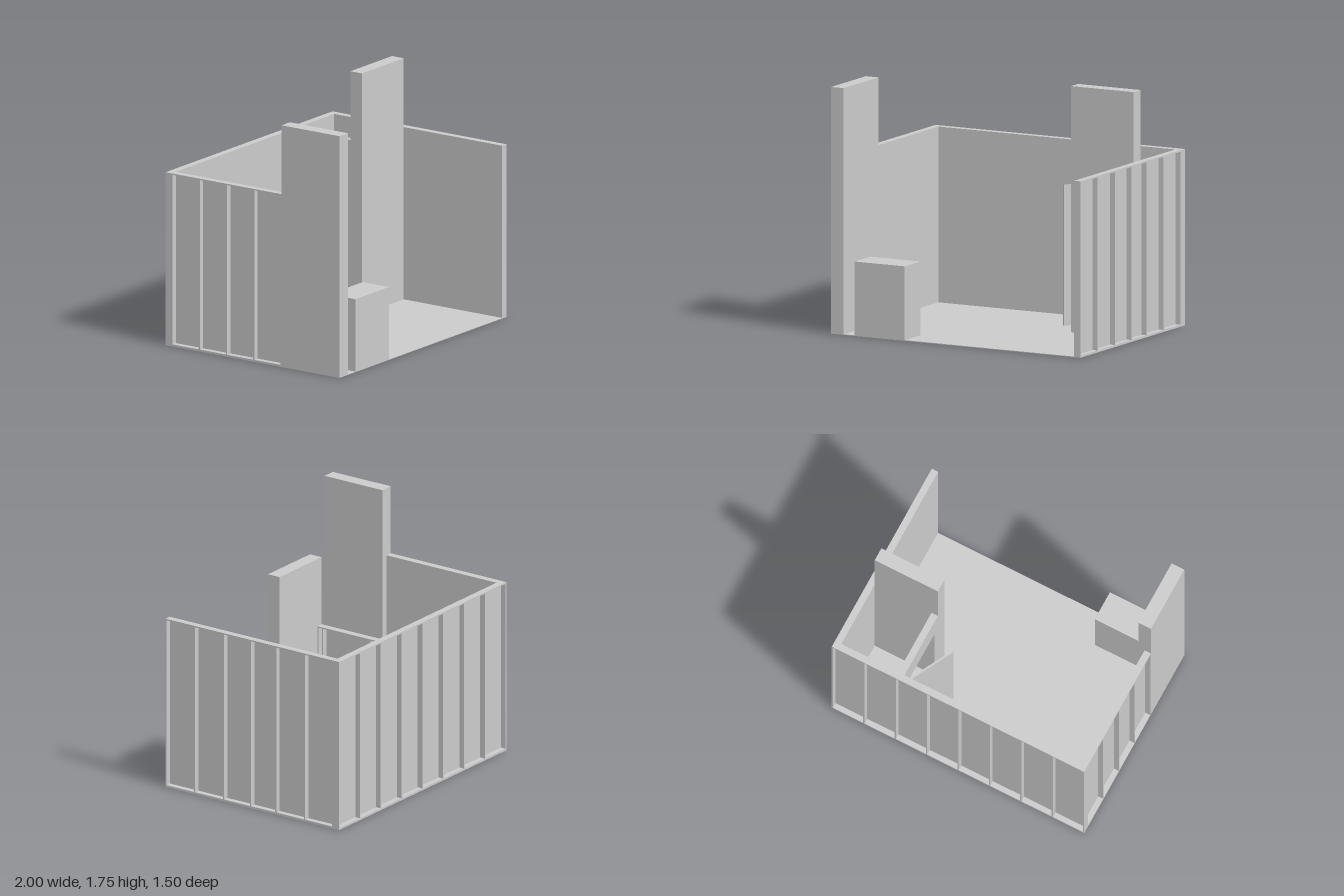
import * as THREE from 'three';

const FLOOR = 0.005;   // floor sheet thickness
const H = 1.25;        // wall height above the floor
const D = 0.05;        // wall depth
const T = 0.01;        // timber and sheet thickness

const grey = new THREE.MeshStandardMaterial({ color: 0xcccccc, flatShading: true });

// Box given by its min and max corners
function box(parent, name, x0, x1, y0, y1, z0, z1) {
  const mesh = new THREE.Mesh(new THREE.BoxGeometry(x1 - x0, y1 - y0, z1 - z0), grey);
  mesh.position.set((x0 + x1) / 2, (y0 + y1) / 2, (z0 + z1) / 2);
  mesh.name = name;
  parent.add(mesh);
  return mesh;
}

// Stud wall along local x from a to b, sheeted on the local +z side, open behind.
// studs: centre positions; door: optional opening { a, b, h }
function framedWall(name, a, b, studs, door) {
  const wall = new THREE.Group();
  wall.name = name;
  const z0 = -D / 2, z1 = D / 2;

  // Plates
  box(wall, 'topPlate', a, b, H - T, H, z0, z1);
  const runs = door ? [[a, door.a], [door.b, b]] : [[a, b]];
  for (const [p, q] of runs) box(wall, 'bottomPlate', p, q, 0, T, z0, z1);

  // End studs take the full depth, the others sit behind the sheet
  for (const s of studs) {
    const end = s - a < T || b - s < T;
    box(wall, 'stud', s - T / 2, s + T / 2, T, H - T, z0, end ? z1 : z1 - T);
  }

  // Sheet, notched around the opening
  const sheet = new THREE.Shape();
  sheet.moveTo(a + T, T);
  if (door) {
    sheet.lineTo(door.a, T);
    sheet.lineTo(door.a, door.h);
    sheet.lineTo(door.b, door.h);
    sheet.lineTo(door.b, T);
    box(wall, 'doorHeader', door.a, door.b, door.h, door.h + T, z0, z1 - T);
  }
  sheet.lineTo(b - T, T);
  sheet.lineTo(b - T, H - T);
  sheet.lineTo(a + T, H - T);
  sheet.closePath();
  const panel = new THREE.Mesh(
    new THREE.ExtrudeGeometry(sheet, { depth: T, bevelEnabled: false }), grey);
  panel.position.z = z1 - T;
  panel.name = 'wallSheet';
  wall.add(panel);
  return wall;
}

// Evenly spaced stud centres, flush with both ends
function spaced(a, b, count) {
  const list = [];
  for (let i = 0; i < count; i++) {
    list.push(a + T / 2 + (b - a - T) * i / (count - 1));
  }
  return list;
}

export function createModel() {
  const model = new THREE.Group();
  model.name = 'room';

  box(model, 'floor', -1, 1, 0, FLOOR, -0.75, 0.75);

  // Back wall
  const back = framedWall('backWall', -1, 1, spaced(-1, 1, 9));
  back.position.set(0, FLOOR, -0.725);
  model.add(back);

  // Wall on the +x side, local x runs along z
  const left = framedWall('leftWall', -0.7, 0.75,
    [-0.695, -0.45, -0.203, 0.015, 0.248, 0.5, 0.745]);
  left.rotation.y = -Math.PI / 2;
  left.position.set(0.975, FLOOR, 0);
  model.add(left);

  // Shorter wall on the -x side, local x runs against z
  const right = framedWall('rightWall', -0.25, 0.7, spaced(-0.25, 0.7, 5));
  right.rotation.y = Math.PI / 2;
  right.position.set(-0.975, FLOOR, 0);
  model.add(right);

  // Partition of the corner closet with its doorway
  const opening = { a: -0.65, b: -0.25, h: 1.0 };
  const partition = framedWall('partition', -0.7, -0.2,
    [-0.695, opening.a - T / 2, opening.b + T / 2, -0.205], opening);
  partition.rotation.y = -Math.PI / 2;
  partition.position.set(0.475, FLOOR, 0);
  model.add(partition);

  // Tall solid walls
  box(model, 'tallSideWall', -1, -0.9, FLOOR, 1.755, 0.25, 0.75);
  box(model, 'tallClosetWall', 0.45, 0.95, FLOOR, 1.755, -0.2, -0.1);

  // Open door leaf, swung on its hinge
  const hinge = new THREE.Group();
  hinge.name = 'door';
  hinge.position.set(0.455, FLOOR, -0.645);
  hinge.rotation.y = -Math.atan2(0.177, 0.338);
  box(hinge, 'doorLeaf', -0.007, 0.007, 0, 1.0, 0, 0.385);
  model.add(hinge);

  // Free-standing cabinet
  box(model, 'cabinet', -0.81, -0.41, FLOOR, 0.53, 0.525, 0.752);

  return model;
}
